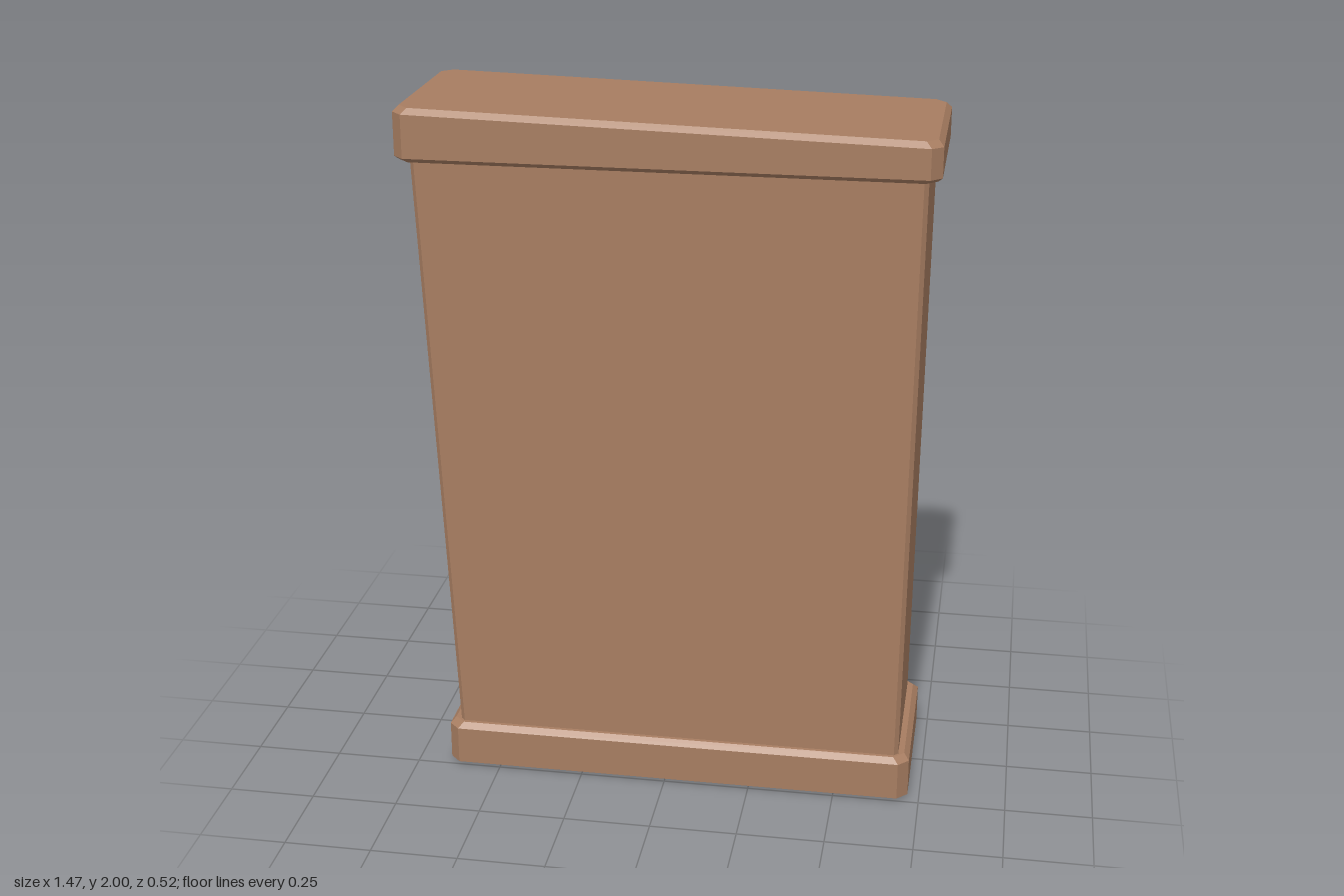
import * as THREE from 'three';
import { mergeGeometries } from 'three/addons/utils/BufferGeometryUtils.js';

const mat = (name, color) => {
  const m = new THREE.MeshStandardMaterial({ color, flatShading: true });
  m.name = name;
  return m;
};

// Flat-sided solid through rings of [x, y, z], each counter-clockwise from above
function loft(rings, caps = true) {
  const n = rings[0].length, pos = rings.flat(2), idx = [];
  for (let r = 0; r < rings.length - 1; r++) {
    for (let i = 0; i < n; i++) {
      const a = r * n + i, b = r * n + (i + 1) % n;
      idx.push(a, b, b + n, a, b + n, a + n);
    }
  }
  if (caps) {
    const top = (rings.length - 1) * n;
    for (let i = 1; i < n - 1; i++) idx.push(0, i + 1, i, top, top + i, top + i + 1);
  }
  const g = new THREE.BufferGeometry();
  g.setAttribute('position', new THREE.Float32BufferAttribute(pos, 3));
  g.setIndex(idx);
  const flat = g.toNonIndexed();
  flat.computeVertexNormals();
  return flat;
}

// Rectangle with cut corners; y may depend on x
function octagon(x0, x1, z, cut, y) {
  return [[x0, z - cut], [x0 + cut, z], [x1 - cut, z], [x1, z - cut],
    [x1, cut - z], [x1 - cut, -z], [x0 + cut, -z], [x0, cut - z]]
    .map(([x, d]) => [x, y(x), d]);
}

function slab(x0, x1, z, y0, topY, lowBevel) {
  const ring = (inset, y) => octagon(x0 + inset, x1 - inset, z - inset, 0.03, y);
  return loft([ring(lowBevel, () => y0), ring(0, () => y0 + 0.012),
    ring(0, (x) => topY(x) - 0.016), ring(0.015, topY)]);
}

const box = (w, h, d, x, y, z) => new THREE.BoxGeometry(w, h, d).translate(x, y, z);

export function createModel() {
  const model = new THREE.Group();
  model.name = 'bookcase';
  const M = {
    wood: mat('wood', 0xa77d61), red: mat('red', 0xea0432), purple: mat('purple', 0x761c98),
    blue: mat('blue', 0x0a70d0), green: mat('green', 0x3cb000), rust: mat('rust', 0xca3404),
    yellow: mat('yellow', 0xcfae06), pine: mat('dark green', 0x33693a),
    cream: mat('cream card', 0xd2c690), page: mat('paper', 0xe0dcd4),
  };
  const add = (name, geo, material, parent = model) => {
    const m = new THREE.Mesh(geo, material);
    m.name = name;
    parent.add(m);
    return m;
  };

  // Crooked outer walls
  const wallL = (y) => -0.62 - (y - 0.14) * 0.046;
  const wallR = (y) => 0.685 + (y - 0.14) * 0.009;
  const c = 0.012, t = 0.08, zf = 0.23, zi = 0.1;
  const bodyRing = (y) => {
    const L = wallL(y), R = wallR(y);
    return [[L, zf - c], [L + c, zf], [R - c, zf], [R, zf - c], [R, c - zf], [R - c, -zf],
      [R - t, -zf], [R - t, zi], [L + t, zi], [L + t, -zf], [L + c, -zf], [L, c - zf]]
      .map(([x, z]) => [x, y, z]);
  };
  add('carcass', loft([bodyRing(0.12), bodyRing(1.87)], false), M.wood);
  add('plinth', slab(-0.653, 0.717, 0.256, 0, () => 0.14, 0.03), M.wood);
  add('crown', slab(-0.738, 0.735, 0.262, 1.85, (x) => 1.98 - x * 0.026, 0.012), M.wood);
  add('divider', box(0.095, 1.74, 0.34, 0.02, 1, -0.05), M.wood);

  // Shelves; the lowest row stands on the plinth
  const floors = [1.475, 0.98, 0.5, 0.14];
  for (const y of floors.slice(0, 3)) {
    const L = wallL(y) + 0.03, R = wallR(y) - 0.03;
    add('shelf', box(R - L, 0.09, 0.325, (L + R) / 2, y - 0.045, -0.0475), M.wood);
  }

  // Book: spine, two covers and a paper block, spine facing -z
  function book(color, x, floor, h, lean = 0) {
    const g = new THREE.Group(), w = 0.041, d = 0.17, k = 0.008;
    g.name = 'book';
    add('cover', mergeGeometries([
      box(w, h, k, 0, h / 2, k / 2),
      box(k, h, d, (w - k) / 2, h / 2, d / 2),
      box(k, h, d, (k - w) / 2, h / 2, d / 2),
    ]), M[color], g);
    add('pages', box(w - 2 * k, h - 0.02, d - 0.02, 0, h / 2, d / 2), M.page, g);
    g.position.set(x, floor, -0.12);
    g.rotation.z = lean;
    model.add(g);
  }

  // [row, colour, x, height] for every upright book
  const books = [
    [0, 'rust', 0.577, 0.3], [0, 'red', 0.53, 0.3], [0, 'red', 0.482, 0.26], [0, 'blue', 0.434, 0.23],
    [0, 'red', 0.265, 0.21], [0, 'purple', 0.22, 0.25], [0, 'rust', 0.17, 0.29], [0, 'green', 0.12, 0.24],
    [0, 'purple', -0.052, 0.28], [0, 'green', -0.098, 0.21], [0, 'blue', -0.145, 0.235],
    [0, 'yellow', -0.192, 0.265], [0, 'purple', -0.24, 0.28],
    [0, 'red', -0.445, 0.26], [0, 'purple', -0.49, 0.21], [0, 'blue', -0.535, 0.23],
    [1, 'red', 0.275, 0.2], [1, 'blue', 0.227, 0.26], [1, 'green', 0.18, 0.3],
    [1, 'yellow', 0.135, 0.24], [1, 'page', 0.093, 0.25],
    [1, 'rust', -0.053, 0.3], [1, 'blue', -0.1, 0.28], [1, 'red', -0.145, 0.23],
    [1, 'yellow', -0.192, 0.26], [1, 'pine', -0.245, 0.225], [1, 'rust', -0.302, 0.205],
    [2, 'rust', 0.195, 0.2], [2, 'rust', 0.147, 0.26], [2, 'rust', 0.1, 0.25],
    [2, 'cream', -0.05, 0.28], [2, 'purple', -0.092, 0.3], [2, 'blue', -0.137, 0.26],
    [2, 'purple', -0.182, 0.23], [2, 'red', -0.23, 0.28], [2, 'cream', -0.278, 0.21],
    [2, 'pine', -0.328, 0.235],
    [3, 'red', -0.42, 0.23], [3, 'rust', -0.465, 0.18], [3, 'green', -0.507, 0.18],
  ];
  for (const [row, color, x, h] of books) book(color, x, floors[row], h);
  book('purple', 0.392, floors[1] + 0.009, 0.21, 0.42);

  // Storage box with a slightly wider lid
  function storageBox(x, y, z, w, h, d) {
    const lid = h * 0.27;
    add('storageBox', mergeGeometries([
      box(w - 0.006, h - lid, d - 0.006, x, y + (h - lid) / 2, z),
      box(w, lid, d, x, y + h - lid / 2, z),
    ]), M.cream);
  }
  storageBox(0.53, 0.5, -0.055, 0.15, 0.16, 0.23);
  storageBox(0.55, 0.66, -0.025, 0.11, 0.11, 0.16);
  storageBox(0.41, 0.5, -0.005, 0.085, 0.11, 0.16);
  storageBox(-0.115, 0.14, -0.075, 0.17, 0.18, 0.18);
  storageBox(-0.26, 0.14, -0.02, 0.11, 0.11, 0.16);

  // Tapered fabric bin with a shallow recess
  const bin = (w, d, y) => [[-w, d], [w, d], [w, -d], [-w, -d]]
    .map(([x, z]) => [0.385 + x, y, -0.035 + z]);
  add('fabricBin', loft([bin(0.12, 0.085, 0.14), bin(0.16, 0.115, 0.34),
    bin(0.146, 0.1, 0.34), bin(0.142, 0.096, 0.315)]), M.purple);

  return model;
}
